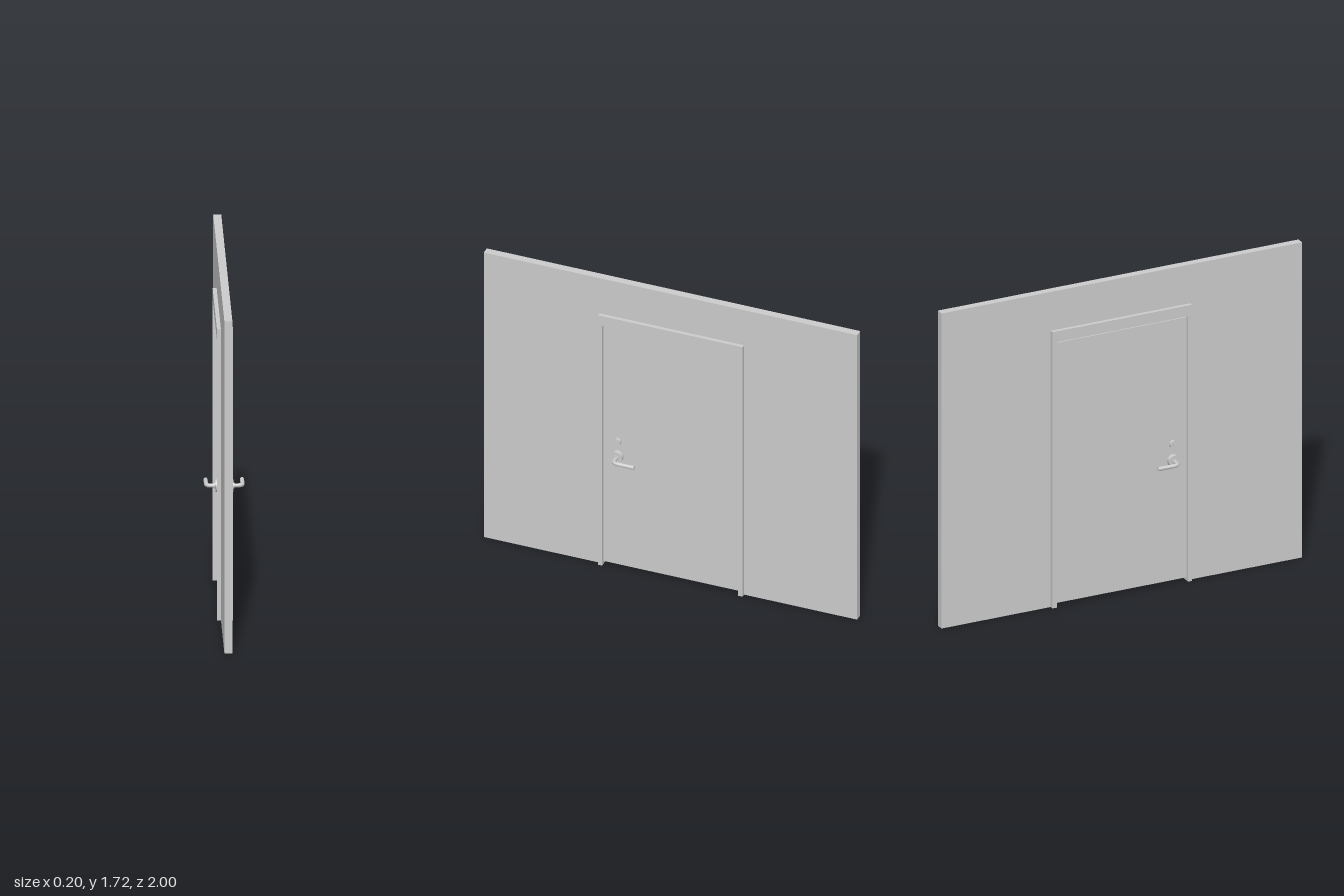
import * as THREE from 'three';

const grey = new THREE.MeshStandardMaterial({ color: 0xcccccc });

function add(parent, name, geometry) {
  const mesh = new THREE.Mesh(geometry, grey);
  mesh.name = name;
  parent.add(mesh);
  return mesh;
}

// Upside-down U in the z-y plane, extruded symmetrically along x
function portal(outer, inner, thickness) {
  const corners = [
    [outer.z0, 0], [outer.z0, outer.top], [outer.z1, outer.top], [outer.z1, 0],
    [inner.z1, 0], [inner.z1, inner.top], [inner.z0, inner.top], [inner.z0, 0],
  ];
  const shape = new THREE.Shape(corners.map(([z, y]) => new THREE.Vector2(-z, y)));
  const geometry = new THREE.ExtrudeGeometry(shape, { depth: thickness, bevelEnabled: false });
  return geometry.translate(0, 0, -thickness / 2).rotateY(Math.PI / 2);
}

// Disc or rod along x, from x0 to x1
function disc(radius, x0, x1, segments = 32) {
  return new THREE.CylinderGeometry(radius, radius, x1 - x0, segments)
    .rotateZ(-Math.PI / 2).translate((x0 + x1) / 2, 0, 0);
}

// Lever set for the +x face; side = -1 gives the opposite face
function handleSet(side) {
  const group = new THREE.Group();
  group.name = side > 0 ? 'leftHandleSet' : 'rightHandleSet';
  const X = (x) => side * x;
  const span = (a, b) => (side > 0 ? [a, b] : [-b, -a]);

  const lever = new THREE.Group();
  lever.name = 'leverHandle';
  lever.position.set(0, 0.672, 0.283);
  group.add(lever);
  add(lever, 'rose', disc(0.032, ...span(0.02, 0.044)));
  add(lever, 'hub', disc(0.015, ...span(0.044, 0.05)));

  // Spindle that bends round into the grip
  const path = new THREE.CurvePath();
  const p = (x, z) => new THREE.Vector3(X(x), 0, z);
  path.add(new THREE.LineCurve3(p(0.04, 0), p(0.066, 0)));
  path.add(new THREE.QuadraticBezierCurve3(p(0.066, 0), p(0.091, 0), p(0.091, -0.03)));
  path.add(new THREE.LineCurve3(p(0.091, -0.03), p(0.091, -0.116)));
  add(lever, 'grip', new THREE.TubeGeometry(path, 40, 0.0105, 16));
  const cap = add(lever, 'gripEnd', new THREE.CircleGeometry(0.0105, 16).rotateY(Math.PI));
  cap.position.copy(p(0.091, -0.116));

  // Lock above the lever, with a slim upright key plate
  const lock = new THREE.Group();
  lock.name = 'lock';
  lock.position.set(0, 0.76, 0.283);
  group.add(lock);
  add(lock, 'lockCylinder', disc(0.02, ...span(0.02, 0.036)));
  const slot = add(lock, 'keySlot', new THREE.BoxGeometry(0.004, 0.018, 0.005));
  slot.position.x = X(0.036);
  return group;
}

export function createModel() {
  const model = new THREE.Group();
  model.name = 'doorInWall';

  const frameOuter = { z0: 0.38, z1: -0.394, top: 1.508 };
  const opening = { z0: 0.358, z1: -0.37, top: 1.449 };
  add(model, 'wall', portal({ z0: 1, z1: -1, top: 1.72 }, frameOuter, 0.04));
  add(model, 'doorFrame', portal(frameOuter, opening, 0.08));

  // Door leaf with a gap above and below
  const bottom = 0.016, top = 1.436;
  const leaf = add(model, 'doorLeaf',
    new THREE.BoxGeometry(0.04, top - bottom, opening.z0 - opening.z1));
  leaf.position.set(0, (top + bottom) / 2, (opening.z0 + opening.z1) / 2);

  for (const side of [1, -1]) model.add(handleSet(side));
  return model;
}
